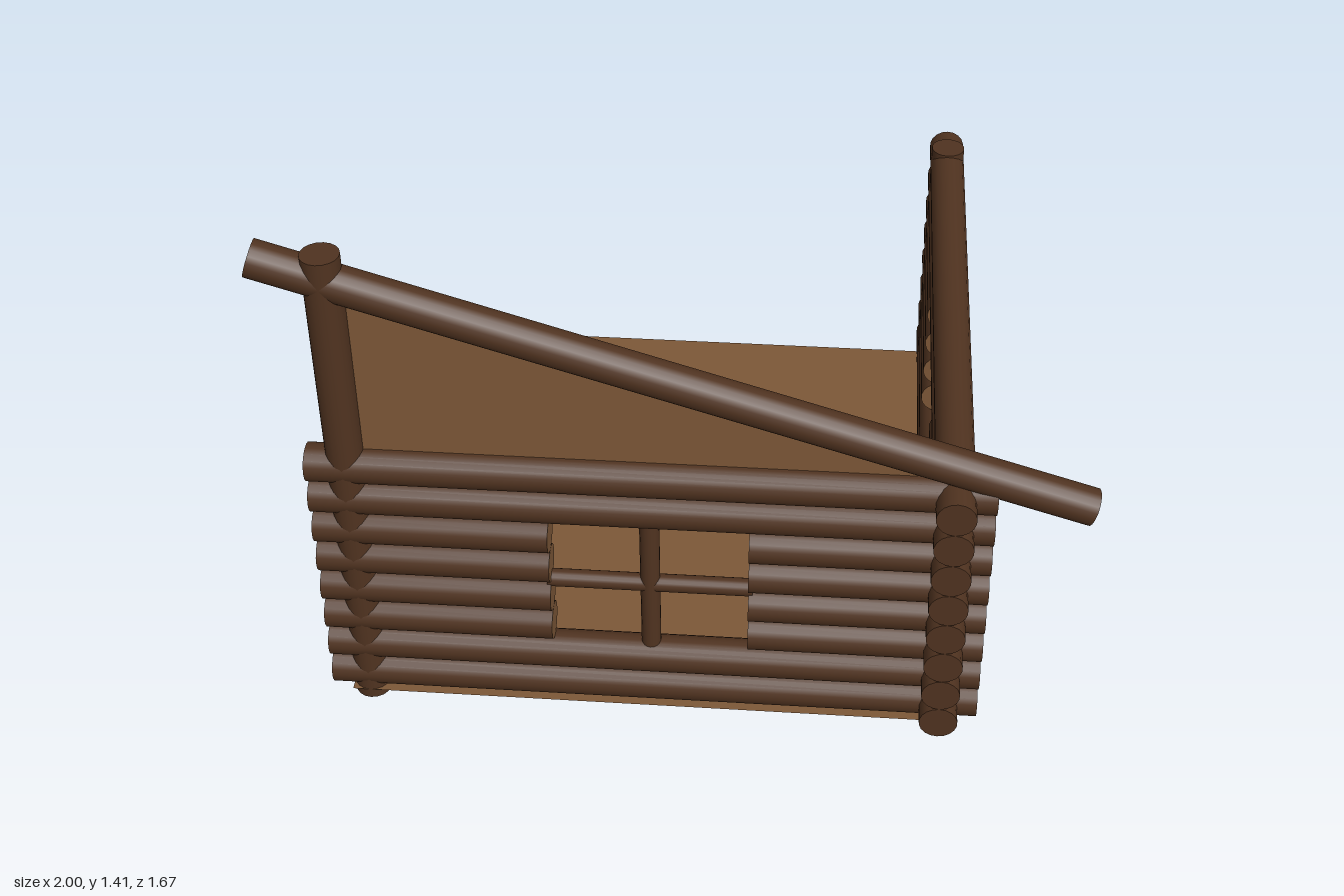
import * as THREE from 'three';

const timber = new THREE.MeshStandardMaterial({ color: 0x503320 });
timber.name = 'dark timber';
const plank = new THREE.MeshStandardMaterial({ color: 0x7d5838, side: THREE.DoubleSide });
plank.name = 'light plank';

const R = 0.049, POST_R = 0.047;
const SIDE_X = 0.656, FRONT_Z = 0.739, POST_X = -0.82;
const LOGS = 8, FIRST_Y = 0.076, STEP = 0.098;

// Round log between two points; cut ends can be light
function log(name, a, b, r, startMat = timber, endMat = timber) {
  const from = new THREE.Vector3(...a), to = new THREE.Vector3(...b);
  const dir = to.clone().sub(from);
  const geo = new THREE.CylinderGeometry(r, r, dir.length(), 18);
  const mesh = new THREE.Mesh(geo, [timber, endMat, startMat]);
  mesh.name = name;
  mesh.position.copy(from).add(to).multiplyScalar(0.5);
  mesh.quaternion.setFromUnitVectors(new THREE.Vector3(0, 1, 0), dir.normalize());
  return mesh;
}

// Stacked log wall with a crossed window; at(t, y) maps a distance along the wall to a point
function logWall(name, at, start, end, winStart, winEnd) {
  const wall = new THREE.Group();
  wall.name = name;
  for (let i = 0; i < LOGS; i++) {
    const y = FIRST_Y + i * STEP;
    if (i >= 2 && i <= 5) {
      wall.add(log('shortLog', at(start, y), at(winStart, y), R, timber, plank));
      wall.add(log('shortLog', at(winEnd, y), at(end, y), R, plank, timber));
    } else {
      wall.add(log('longLog', at(start, y), at(end, y), R));
    }
  }
  const mid = (winStart + winEnd) / 2;
  wall.add(log('windowUpright', at(mid, 0.2), at(mid, 0.64), 0.025));
  wall.add(log('windowCrossbar', at(winStart - 0.01, 0.42), at(winEnd + 0.01, 0.42), 0.023));
  return wall;
}

export function createModel() {
  const model = new THREE.Group();
  model.name = 'logShelter';

  // Walls
  model.add(logWall('frontWall', (t, y) => [t, y, FRONT_Z], -0.915, 0.755, -0.33, 0.165));
  model.add(logWall('sideWall', (t, y) => [SIDE_X, y, t], -0.837, 0.837, -0.248, 0.248));

  // Posts and sloping roof beam
  model.add(log('tallPost', [POST_X, 0, FRONT_Z], [POST_X, 1.38, FRONT_Z], POST_R));
  model.add(log('backPost', [SIDE_X, 0.025, -FRONT_Z], [SIDE_X, 0.816, -FRONT_Z], POST_R));
  model.add(log('roofBeam', [-0.985, 1.361, FRONT_Z], [0.985, 0.741, FRONT_Z], POST_R));

  // Gable panel under the beam
  const gable = new THREE.Shape([
    new THREE.Vector2(POST_X, 0.77), new THREE.Vector2(0.69, 0.77),
    new THREE.Vector2(0.69, 0.834), new THREE.Vector2(POST_X, 1.308),
  ]);
  const panel = new THREE.Mesh(new THREE.ShapeGeometry(gable), plank);
  panel.name = 'gablePanel';
  panel.position.z = FRONT_Z;
  model.add(panel);

  // Floor sheet
  const floor = new THREE.Mesh(new THREE.PlaneGeometry(1.57, 1.572), plank);
  floor.name = 'floor';
  floor.rotation.x = -Math.PI / 2;
  floor.position.set(-0.08, 0.029, 0);
  model.add(floor);

  return model;
}
